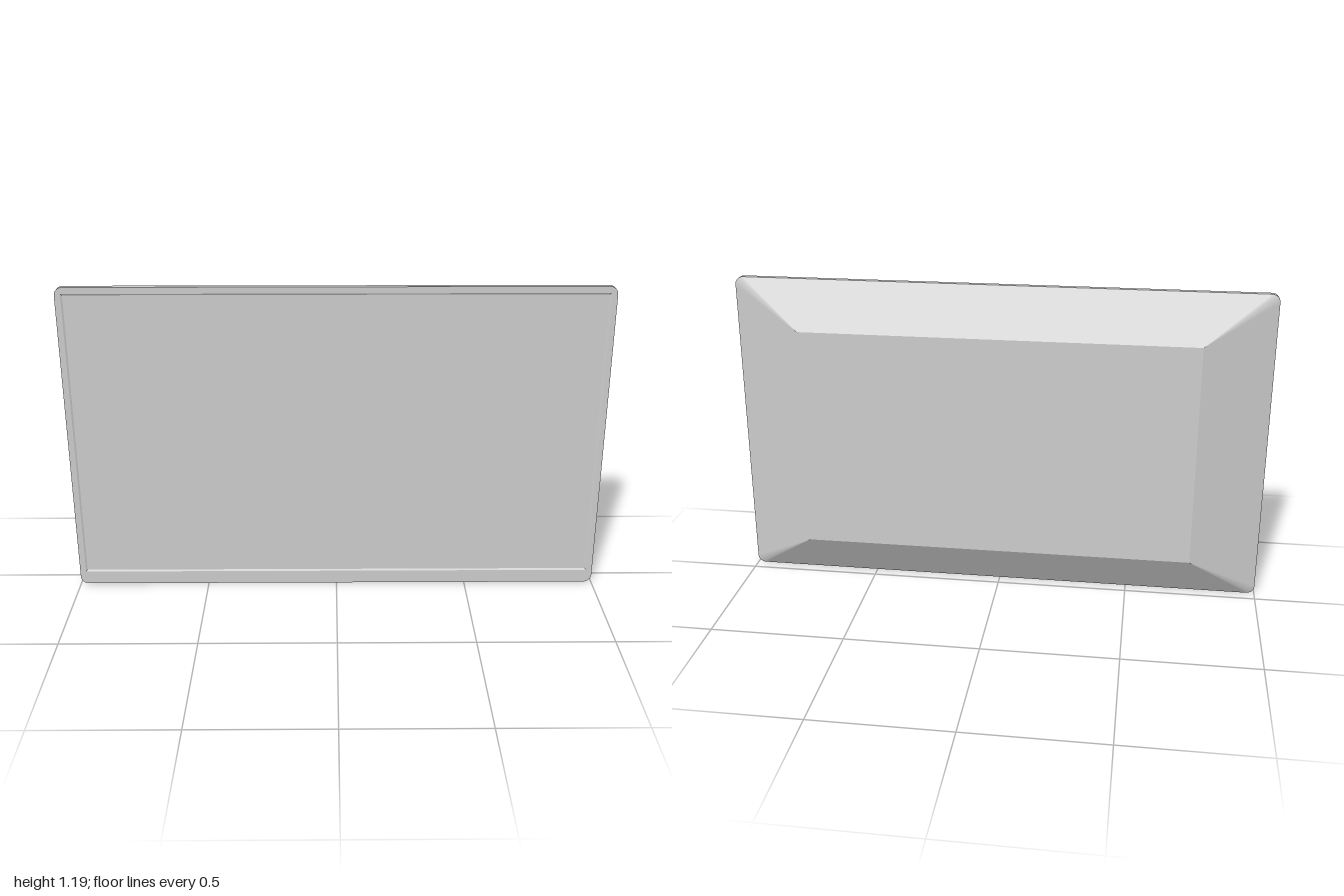
import * as THREE from 'three';

const STEPS = 8; // segments per rounded corner

// Rectangle outline, counter-clockwise from the front; r = 0 gives sharp corners
function loop(halfW, y0, y1, z, r = 0) {
  const pts = [];
  const corners = [[halfW, y0], [halfW, y1], [-halfW, y1], [-halfW, y0]];
  corners.forEach(([x, y], c) => {
    const cx = x - Math.sign(x) * r;
    const cy = y === y1 ? y - r : y + r;
    for (let i = 0; i <= STEPS; i++) {
      const a = (c - 1 + i / STEPS) * Math.PI / 2;
      pts.push(new THREE.Vector3(cx + r * Math.cos(a), cy + r * Math.sin(a), z));
    }
  });
  return pts;
}

// Band between two loops: smooth round the corners, sharp at its own borders
function band(A, B) {
  const n = A.length, index = [], all = [...A, ...B];
  const tri = (...ids) => {
    const [a, b, c] = ids.map(i => all[i]);
    if (new THREE.Triangle(a, b, c).getArea() > 1e-8) index.push(...ids);
  };
  for (let i = 0; i < n; i++) {
    const j = (i + 1) % n;
    tri(i, j, n + j);
    tri(i, n + j, n + i);
  }
  const g = new THREE.BufferGeometry().setFromPoints(all);
  g.setIndex(index);
  g.computeVertexNormals();
  return g;
}

export function createModel() {
  const group = new THREE.Group();
  group.name = 'flatScreen';
  const material = new THREE.MeshStandardMaterial({ color: 0xcccccc });
  const add = (name, geometry) => {
    const mesh = new THREE.Mesh(geometry, material);
    mesh.name = name;
    group.add(mesh);
    return mesh;
  };

  const H = 1.194, R = 0.03;
  const FRONT = 0.067, RIM = 0.046, BACK = -0.067, SCREEN = 0.063;
  const backW = 0.739, backY0 = 0.173, backY1 = 1.021;
  const openW = 0.978, openY0 = 0.052, openY1 = 1.17, bevel = 0.006;
  const screenW = openW - bevel, screenY0 = openY0 + bevel, screenY1 = openY1 - bevel;

  const backEdge = loop(backW, backY0, backY1, BACK);
  const rimBack = loop(1, 0, H, RIM, R);
  const rimFront = loop(1, 0, H, FRONT, R);
  const opening = loop(openW, openY0, openY1, FRONT);
  const screenEdge = loop(screenW, screenY0, screenY1, SCREEN);

  // Sloped rear housing running from the flat back out to the rounded rim
  add('rearHousing', band(backEdge, rimBack));

  // Thin rim, front bezel and the small bevelled step down to the screen
  add('rim', band(rimBack, rimFront));
  add('bezel', band(rimFront, opening));
  add('screenBevel', band(opening, screenEdge));

  // Flat screen and back panel
  const screen = add('screen', new THREE.PlaneGeometry(2 * screenW, screenY1 - screenY0));
  screen.position.set(0, (screenY0 + screenY1) / 2, SCREEN);
  const back = add('backPanel', new THREE.PlaneGeometry(2 * backW, backY1 - backY0));
  back.position.set(0, (backY0 + backY1) / 2, BACK);
  back.rotation.y = Math.PI;

  return group;
}
